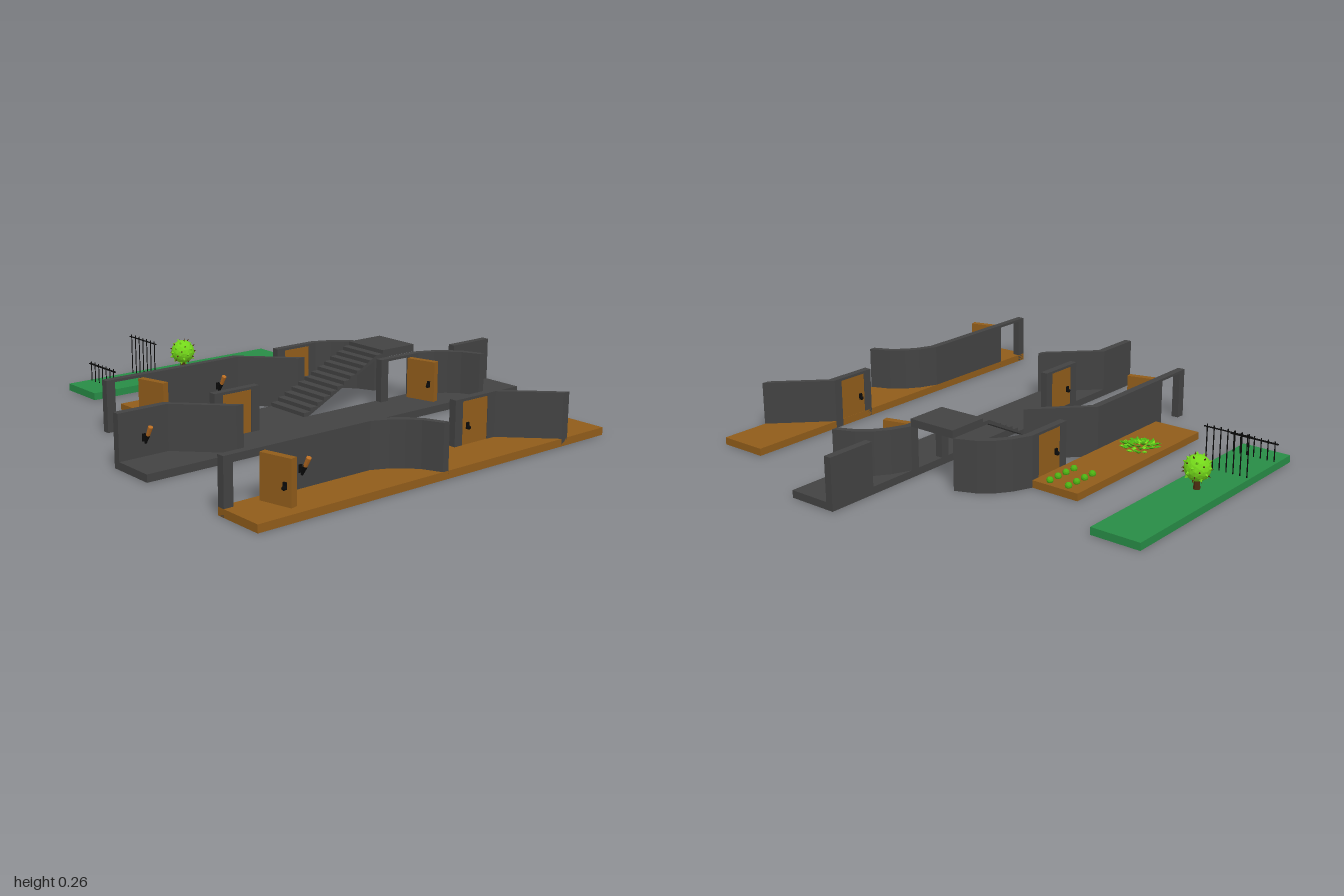
import * as THREE from 'three';

const C = 2 / 9;      // one grid cell
const T = 0.033;      // floor and wall thickness
const H = 0.222;      // wall top
const mat = (name, color) => Object.assign(new THREE.MeshStandardMaterial({ color, flatShading: true }), { name });

export function createModel() {
  const M = {
    stone: mat('stone', 0x424242), wood: mat('wood', 0x905c1a), grass: mat('grass', 0x288c46),
    iron: mat('iron', 0x0a0a0a), bush: mat('bush', 0x74d81a), leaf: mat('leaf', 0x4cb012),
    bark: mat('bark', 0x4a2c10), flame: mat('torch wood', 0xb86c22), marker: mat('marker', 0xe03cc2),
  };
  const model = new THREE.Group();
  model.name = 'dungeonTiles';

  const add = (parent, name, geo, m, x = 0, y = 0, z = 0) => {
    const mesh = new THREE.Mesh(geo, m);
    mesh.name = name;
    mesh.position.set(x, y, z);
    parent.add(mesh);
    return mesh;
  };
  // box given by its limits
  const box = (parent, name, m, x0, x1, y0, y1, z0, z1) => add(parent, name,
    new THREE.BoxGeometry(x1 - x0, y1 - y0, z1 - z0), m, (x0 + x1) / 2, (y0 + y1) / 2, (z0 + z1) / 2);
  // upright prism from a plan outline of [x, z] points
  const prism = (name, pts, x, z) => {
    const shape = new THREE.Shape(pts.map(([px, pz]) => new THREE.Vector2(px, -pz)));
    const geo = new THREE.ExtrudeGeometry(shape, { depth: H - 0.001, bevelEnabled: false });
    return add(model, name, geo.rotateX(-Math.PI / 2), M.stone, x, 0.001, z);
  };
  const group = (name) => {
    const g = new THREE.Group();
    g.name = name;
    model.add(g);
    return g;
  };

  // floor strips, each with one marked cell underneath
  const floor = (name, m, x0, z0, z1) => box(model, name, m, x0, x0 + C, 0.001, T, z0, z1);
  const marker = (x, z) => add(model, 'undersideMarker',
    new THREE.PlaneGeometry(C, C).rotateX(Math.PI / 2), M.marker, x, 0, z);
  floor('grassFloor', M.grass, -1, -2.5 * C, 2.5 * C);
  floor('gardenFloor', M.wood, -2.5 * C, -1.5 * C, 2.5 * C);
  floor('stoneFloor', M.stone, C / 2, -1, 1);
  floor('woodFloor', M.wood, 3.5 * C, -3.5 * C, 1);
  marker(-4 * C, -C);
  marker(-2 * C, 0);
  marker(0, C);
  marker(4 * C, 0);

  // straight wall, z is the start of its cell
  const wall = (x, z) => box(model, 'straightWall', M.stone, x, x + T, 0.001, H, z, z + C);

  // slanted wall, running to +x and -z
  const slantWall = (x, z) => prism('slantedWall', [[0, C], [T, C], [C, T], [C, 0]], x, z);

  // curved wall with a few flat facets
  const curvedWall = (x, z) => prism('curvedWall', [
    [0, C], [0.035, 0.142], [0.076, 0.086], [0.132, 0.039], [C, 0.002],
    [C, 0.03], [0.144, 0.066], [0.099, 0.108], [0.064, 0.153], [T, C]], x, z);

  // door frame with a closed or open door leaf
  const doorway = (x, z, base, open) => {
    const g = group(open ? 'openDoorway' : 'closedDoorway');
    const mid = z + C / 2, top = 0.211;
    box(g, 'framePost', M.stone, x, x + T, 0.001, H, z, mid - 0.07);
    box(g, 'framePost', M.stone, x, x + T, 0.001, H, mid + 0.07, z + C);
    box(g, 'lintel', M.stone, x, x + T, top, H, mid - 0.07, mid + 0.07);
    const leaf = new THREE.Group();
    leaf.name = 'door';
    box(leaf, 'doorPanel', M.wood, -0.015, 0.015, base, top - 0.001, 0, 0.138);
    for (const s of [-1, 1]) {
      add(leaf, 'handlePlate', new THREE.BoxGeometry(0.006, 0.026, 0.014), M.iron, s * 0.018, 0.11, 0.112);
      add(leaf, 'handleKnob', new THREE.SphereGeometry(0.009, 8, 6), M.iron, s * 0.024, 0.103, 0.112);
    }
    leaf.position.set(x + T / 2, 0, mid - 0.069);
    if (open) {
      leaf.position.set(x + T + 0.003, 0, mid - 0.052);
      leaf.rotation.y = Math.PI / 2 + 0.25;
    }
    g.add(leaf);
  };

  // wall with a torch leaning out of an iron holder
  const torchWall = (x, z) => {
    wall(x, z);
    const g = group('torch');
    g.position.set(x + T, 0, z + C / 2);
    add(g, 'holderPlate', new THREE.BoxGeometry(0.006, 0.03, 0.014), M.iron, 0.003, 0.11, 0);
    add(g, 'holderArm', new THREE.BoxGeometry(0.026, 0.007, 0.007), M.iron, 0.015, 0.115, 0);
    const stick = new THREE.Group();
    stick.name = 'torchStick';
    add(stick, 'holderCup', new THREE.CylinderGeometry(0.009, 0.005, 0.04, 8), M.iron, 0, 0.02, 0);
    add(stick, 'torchHead', new THREE.CylinderGeometry(0.01, 0.008, 0.042, 8), M.flame, 0, 0.061, 0);
    stick.position.set(0.012, 0.09, 0);
    stick.rotation.z = -0.5;
    g.add(stick);
  };

  // left wall row without floor
  const a = -1.5 * C;
  curvedWall(a, -2.5 * C);
  doorway(a, -1.5 * C, 0.001, false);
  slantWall(a, -0.5 * C);
  torchWall(a, 0.5 * C);
  wall(a, 1.5 * C);
  doorway(a, 2.5 * C, 0.001, true);
  // middle wall row on stone
  const b = 0.5 * C;
  wall(b, -1);
  curvedWall(b, -3.5 * C);
  doorway(b, -2.5 * C, T, true);
  doorway(b, 1.5 * C, T, false);
  slantWall(b, 2.5 * C);
  torchWall(b, 3.5 * C);
  // outer wall row on wood
  const c = 3.5 * C;
  slantWall(c, -2.5 * C);
  doorway(c, -1.5 * C, T, false);
  curvedWall(c, 0.5 * C);
  wall(c, 1.5 * C);
  torchWall(c, 2.5 * C);
  doorway(c, 3.5 * C, T, true);

  // staircase: landing, open flight and raised platform as one side profile
  const steps = 13, run = C / 6, rise = C / steps;
  const side = new THREE.Shape();
  side.moveTo(1.5 * C, 0.001);
  side.lineTo(1.5 * C, T);
  for (let i = 0; i < steps; i++) {
    const z = run * (2 - i);
    side.lineTo(z, T + i * rise);
    side.lineTo(z, T + (i + 1) * rise);
  }
  side.lineTo(-2.5 * C, T + C);
  side.lineTo(-2.5 * C, C);
  side.lineTo(-1.5 * C, C);
  side.lineTo(0.5 * C, 0.001);
  add(model, 'staircase', new THREE.ExtrudeGeometry(side, { depth: C, bevelEnabled: false })
    .rotateY(-Math.PI / 2), M.stone, C / 2, 0, 0);

  // tall and low iron fences
  const fence = (z, height, railY, railDepth) => {
    const g = group('fence');
    for (let i = 0; i < 7; i++) {
      const x = -0.985 + i * 0.032;
      add(g, 'fenceBar', new THREE.CylinderGeometry(0.0025, 0.0025, height, 6), M.iron, x, T + height / 2, z);
    }
    box(g, 'fenceRail', M.iron, -1, -1 + C, railY - 0.002, railY + 0.002, z - railDepth, z + railDepth);
  };
  fence(C, 0.186, 0.208, 0.0025);
  fence(2 * C, 0.09, 0.112, 0.005);

  // spread directions evenly over a sphere
  const spread = (i, n) => {
    const y = 1 - 2 * (i + 0.5) / n, r = Math.sqrt(1 - y * y), t = i * 2.39996;
    return new THREE.Vector3(r * Math.cos(t), y, r * Math.sin(t));
  };
  const up = new THREE.Vector3(0, 1, 0);

  // round bush with leaf tips and twigs on a short trunk
  const bush = group('bush');
  bush.position.set(-4 * C, 0.122, 0);
  add(bush, 'trunk', new THREE.CylinderGeometry(0.011, 0.015, 0.06, 8), M.bark, 0, -0.062, 0);
  add(bush, 'foliage', new THREE.IcosahedronGeometry(0.055, 2), M.bush);
  for (let i = 0; i < 40; i++) {
    const d = spread(i, 40), twig = i % 2 === 0;
    const tip = add(bush, twig ? 'twig' : 'leafTip',
      new THREE.ConeGeometry(twig ? 0.005 : 0.009, 0.016, 5), twig ? M.bark : M.bush);
    tip.position.copy(d).multiplyScalar(0.058);
    tip.quaternion.setFromUnitVectors(up, d);
  }

  // low patch of broad leaves
  const patch = group('leafPatch');
  patch.position.set(-0.468, T, C);
  for (let i = 0; i < 46; i++) {
    const t = i * 2.39996, r = 0.08 * Math.sqrt((i + 0.5) / 46) * (1 + 0.12 * Math.cos(3 * t));
    const geo = new THREE.OctahedronGeometry(0.017).scale(1.15, 0.35, 0.7);
    const leaf = add(patch, 'leaf', geo, i % 3 === 0 ? M.bush : M.leaf,
      r * Math.cos(t), 0.008 + 0.022 * (1 - r / 0.09) + 0.004 * (i % 3), r * Math.sin(t));
    leaf.rotation.set(0.3 * Math.sin(i * 2), -t + 0.5 * Math.sin(i), 0.25);
  }

  // two rows of sprouts
  for (const x of [-0.49, -0.398]) {
    for (let i = 0; i < 4; i++) {
      add(model, 'sprout', new THREE.IcosahedronGeometry(0.015, 1), M.leaf, x, T + 0.008, -0.303 + i * 0.053);
    }
  }
  return model;
}
